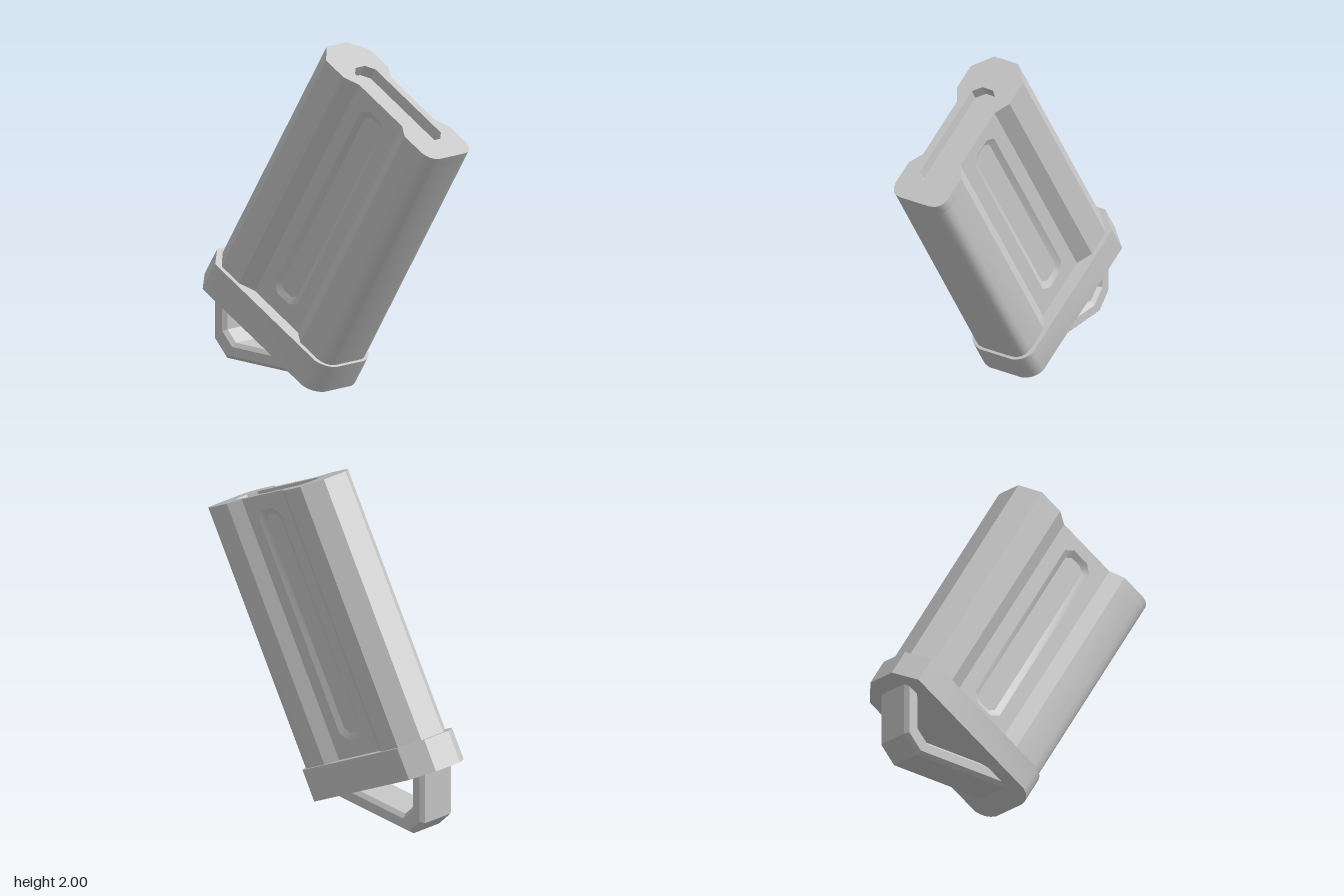
import * as THREE from 'three';
import { toCreasedNormals } from 'three/addons/utils/BufferGeometryUtils.js';

// Slanted frame: s runs across the body, t along its length, z through its thickness
const SLANT = new THREE.Matrix4().makeBasis(
  new THREE.Vector3(0.882, -0.471, 0),
  new THREE.Vector3(0.532, 0.847, 0),
  new THREE.Vector3(0, 0, 1)
).setPosition(-0.947, 0.525, 0);

const toPoints = (list) => list.map(([x, y]) => new THREE.Vector2(x, y));

// Closes a half profile (s, z) by mirroring it in z
function mirrored(half) {
  return toPoints([...half.map(([s, z]) => [s, -z]), ...half.slice().reverse()]);
}

// Rounded corner from the side face to the end face
function roundCorner(a, corner, b) {
  const curve = new THREE.QuadraticBezierCurve(...toPoints([a, corner, b]));
  return curve.getPoints(4).map((p) => [p.x, p.y]);
}

// Rectangle with cut corners, counter-clockwise
function cutRect(x0, x1, y0, y1, c) {
  return toPoints([
    [x0 + c, y0], [x1 - c, y0], [x1, y0 + c], [x1, y1 - c],
    [x1 - c, y1], [x0 + c, y1], [x0, y1 - c], [x0, y0 + c],
  ]);
}

function extrude(points, depth, hole, options = {}) {
  const shape = new THREE.Shape(points);
  if (hole) shape.holes.push(new THREE.Path(hole));
  return new THREE.ExtrudeGeometry(shape, { depth, bevelEnabled: false, ...options });
}

// Profile in (s, z) swept from t0 to t1
function prism(points, t0, t1, hole) {
  return extrude(points, t1 - t0, hole).rotateX(-Math.PI / 2).translate(0, t0, 0);
}

// Sloped wall between an upper outline and a lower one
function slopedWall(upper, zUpper, lower, zLower) {
  const pos = [];
  upper.forEach((a, i) => {
    const j = (i + 1) % upper.length;
    const b = upper[j], c = lower[j], d = lower[i];
    pos.push(a.x, a.y, zUpper, b.x, b.y, zUpper, c.x, c.y, zLower);
    pos.push(a.x, a.y, zUpper, c.x, c.y, zLower, d.x, d.y, zLower);
  });
  const geo = new THREE.BufferGeometry();
  geo.setAttribute('position', new THREE.Float32BufferAttribute(pos, 3));
  geo.computeVertexNormals();
  return geo;
}

export function createModel() {
  const group = new THREE.Group();
  const grey = new THREE.MeshStandardMaterial({ color: 0xc8c8c8 });
  grey.name = 'lightGrey';

  function add(name, geo, slanted = true) {
    if (slanted) geo.applyMatrix4(SLANT);
    const mesh = new THREE.Mesh(toCreasedNormals(geo, 0.45), grey);
    mesh.name = name;
    group.add(mesh);
  }

  const top = 1.762, recessDepth = 0.07;
  const panelZ = 0.127, slotZ = 0.108;
  const panelS0 = 0.386, panelS1 = 0.777;

  // Body with a channel down each side
  const body = mirrored([
    [0.038, 0.081], [0.142, 0.178], [0.3, 0.178],
    [panelS0, panelZ], [panelS0, slotZ], [panelS1, slotZ], [panelS1, panelZ],
    [0.856, 0.178], ...roundCorner([1.01, 0.178], [1.082, 0.17], [1.089, 0.1]),
  ]);
  add('body', prism(body, 0.1, top - recessDepth));

  // Upper end, open to the shallow recess
  const recess = cutRect(0.25, 0.936, -0.081, 0.081, 0.045);
  add('topRim', prism(body, top - recessDepth, top, recess));

  // Channel panels with a long sloped slot on both sides
  const mid = (panelS0 + panelS1) / 2;
  const slotOuter = cutRect(mid - 0.105, mid + 0.105, 0.29, 1.675, 0.05);
  const slotInner = cutRect(mid - 0.07, mid + 0.07, 0.325, 1.64, 0.036);
  const panel = toPoints([[panelS0, 0.1], [panelS1, 0.1], [panelS1, top], [panelS0, top]]);
  ['left', 'right'].forEach((side, i) => {
    const turn = (geo) => geo.translate(-mid, 0, 0).rotateY(i * Math.PI).translate(mid, 0, 0);
    add(side + 'Panel', turn(extrude(panel, panelZ - slotZ, slotOuter).translate(0, 0, slotZ)));
    add(side + 'SlotWall', turn(slopedWall(slotOuter, panelZ, slotInner, slotZ)));
  });

  // Base collar
  const collar = mirrored([
    [0, 0.09], [0.113, 0.205],
    ...roundCorner([1.02, 0.205], [1.09, 0.185], [1.106, 0.11]),
  ]);
  add('baseCollar', prism(collar, 0, 0.19));

  // Bent pull loop under the collar
  const loop = toPoints([
    [-0.86, 0.53], [-0.86, 0.17], [-0.76, 0.07], [-0.05, 0.07],
    [-0.05, 0.168], [-0.69, 0.168], [-0.757, 0.235], [-0.757, 0.53],
  ]);
  add('pullLoop', extrude(loop, 0.19, null, {
    bevelEnabled: true, bevelSegments: 1, bevelSize: 0.022, bevelOffset: -0.022, bevelThickness: 0.022,
  }).translate(0, 0, -0.095), false);

  return group;
}
